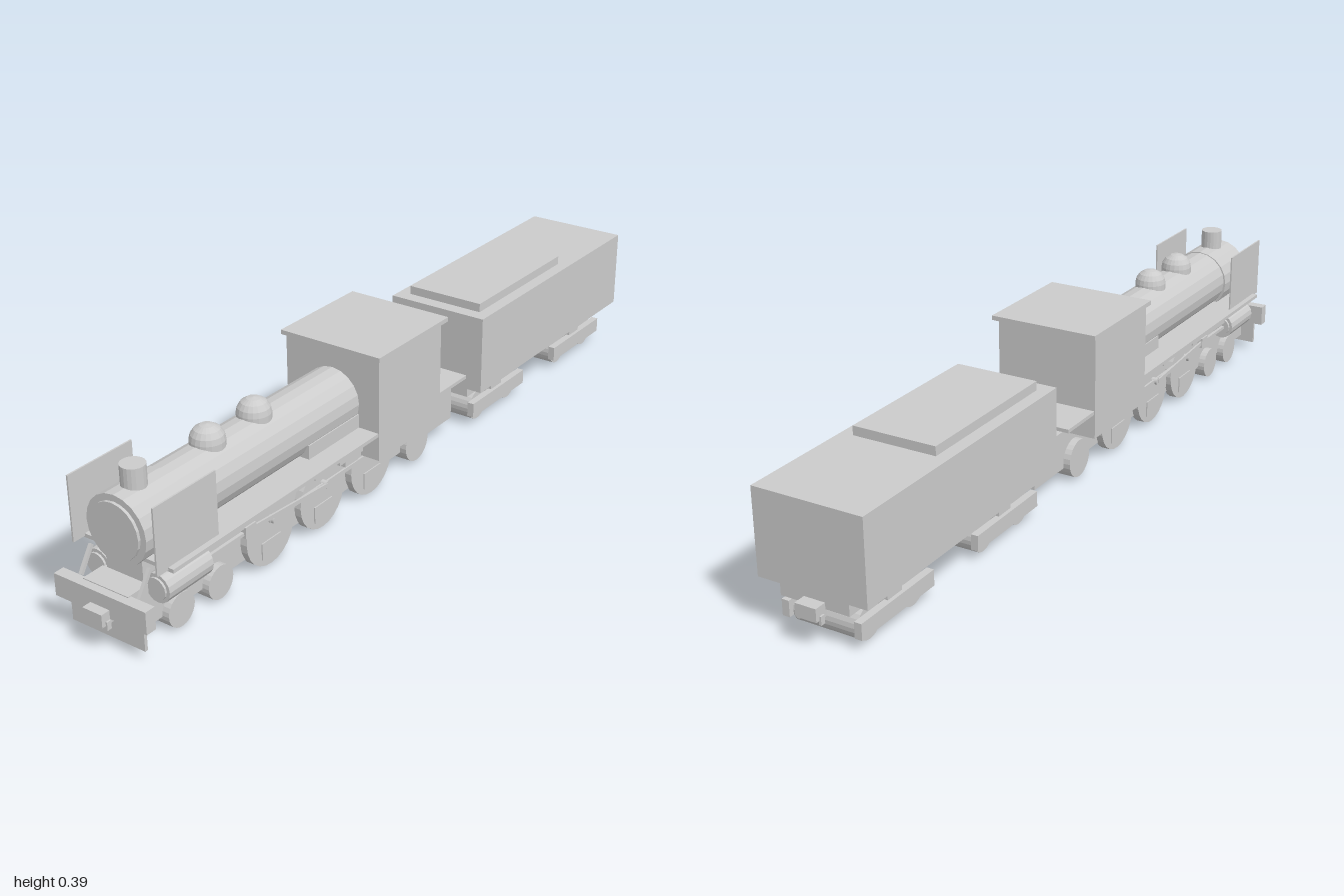
import * as THREE from 'three';

export function createModel() {
  const root = new THREE.Group();
  const flat = new THREE.MeshStandardMaterial({ color: 0xcccccc, flatShading: true });

  function add(name, geometry, x, y, z, parent = root) {
    const mesh = new THREE.Mesh(geometry, flat);
    mesh.name = name;
    mesh.position.set(x, y, z);
    parent.add(mesh);
    return mesh;
  }
  // Box given by its limits on each axis
  function box(name, x0, x1, y0, y1, z0, z1, parent) {
    return add(name, new THREE.BoxGeometry(x1 - x0, y1 - y0, z1 - z0),
      (x0 + x1) / 2, (y0 + y1) / 2, (z0 + z1) / 2, parent);
  }
  // Box symmetric about the centre line
  const slab = (name, w, y0, y1, z0, z1, parent) => box(name, -w, w, y0, y1, z0, z1, parent);
  // Cylinder lying along the locomotive
  function barrel(name, r, z0, z1, x, y, sides = 20, parent = root) {
    const g = new THREE.CylinderGeometry(r, r, z1 - z0, sides).rotateX(Math.PI / 2);
    return add(name, g, x, y, (z0 + z1) / 2, parent);
  }
  // Cylinder lying across the locomotive
  function roller(name, r, x0, x1, y, z, parent = root) {
    const g = new THREE.CylinderGeometry(r, r, x1 - x0, 24).rotateZ(Math.PI / 2);
    return add(name, g, (x0 + x1) / 2, y, z, parent);
  }
  // Flat bar between two points in a vertical plane
  function bar(name, x, y0, z0, y1, z1, height, width, parent) {
    const g = new THREE.BoxGeometry(width, height, Math.hypot(y1 - y0, z1 - z0));
    const mesh = add(name, g, x, (y0 + y1) / 2, (z0 + z1) / 2, parent);
    mesh.rotation.x = -Math.atan2(y1 - y0, z1 - z0);
    return mesh;
  }

  // Boiler, smokebox and firebox
  barrel('boiler', 0.076, 0.18, 0.8, 0, 0.25);
  barrel('smokebox', 0.081, 0.78, 0.915, 0, 0.247);
  barrel('smokeboxDoor', 0.066, 0.91, 0.922, 0, 0.247);
  slab('firebox', 0.075, 0.125, 0.225, 0.19, 0.38);
  slab('smokeboxSaddle', 0.05, 0.13, 0.19, 0.79, 0.9);

  // Chimney and domes
  add('chimney', new THREE.CylinderGeometry(0.028, 0.028, 0.064, 20), 0, 0.341, 0.855);
  const domeProfile = [[0.04, 0], [0.04, 0.03], [0.037, 0.043], [0.029, 0.055], [0.016, 0.063], [0, 0.066]]
    .map(([r, y]) => new THREE.Vector2(r, y));
  for (const z of [0.63, 0.475]) add('dome', new THREE.LatheGeometry(domeProfile, 20), 0, 0.3, z);

  // Cab and running board
  slab('cab', 0.132, 0.12, 0.378, -0.067, 0.19);
  slab('cabRoof', 0.14, 0.377, 0.388, -0.085, 0.2);
  slab('runningBoard', 0.13, 0.182, 0.191, -0.19, 0.895);

  // Frame, buffer beam and drawbar
  slab('mainFrame', 0.062, 0.037, 0.135, -0.23, 0.958);
  slab('bufferBeam', 0.125, 0.08, 0.133, 0.95, 0.977);
  slab('frontGuard', 0.1, 0.021, 0.085, 0.952, 0.96);
  slab('drawbar', 0.04, 0.115, 0.135, -0.27, -0.22);

  // Couplers at both ends
  for (const s of [1, -1]) {
    const coupler = new THREE.Group();
    coupler.name = s > 0 ? 'frontCoupler' : 'rearCoupler';
    slab('couplerBlock', 0.026, 0.07, 0.101, 0.965, 1, coupler);
    for (const x of [-0.027, 0.027]) box('couplerLink', x - 0.003, x + 0.003, 0.06, 0.08, 0.978, 0.99, coupler);
    if (s < 0) coupler.rotation.y = Math.PI;
    root.add(coupler);
  }

  // Leading and trailing wheels
  for (const z of [0.825, 0.7, -0.047]) {
    const r = z < 0 ? 0.048 : 0.04;
    roller('carryingWheels', r, -0.08, 0.08, z < 0 ? 0.05 : 0.04, z);
  }

  // Parts on both sides
  for (const s of [1, -1]) {
    const side = new THREE.Group();
    side.name = s > 0 ? 'leftSide' : 'rightSide';
    root.add(side);
    const at = (c, h) => [s * c - h, s * c + h];

    box('smokeDeflector', ...at(0.114, 0.002), 0.185, 0.341, 0.74, 0.927, side);
    barrel('cylinder', 0.034, 0.76, 0.895, s * 0.082, 0.13, 16, side);
    barrel('cylinderCover', 0.026, 0.753, 0.9, s * 0.082, 0.13, 16, side);
    bar('frontBrace', s * 0.08, 0.185, 0.91, 0.13, 0.945, 0.008, 0.008, side);

    // Driving wheels with counterweights and crank pins
    for (const z of [0.53, 0.34, 0.147]) {
      roller('drivingWheel', 0.082, ...at(0.069, 0.011), 0.083, z, side);
      box('counterweight', ...at(0.08, 0.003), 0.024, 0.065, z - 0.033, z + 0.033, side);
      roller('crankPin', 0.009, ...at(0.086, 0.01), 0.115, z, side);
    }

    // Rods and valve gear
    bar('couplingRod', s * 0.087, 0.115, 0.14, 0.115, 0.54, 0.01, 0.005, side);
    bar('connectingRod', s * 0.095, 0.115, 0.34, 0.135, 0.62, 0.01, 0.005, side);
    bar('pistonRod', s * 0.09, 0.13, 0.6, 0.13, 0.76, 0.008, 0.008, side);
    bar('slideBar', s * 0.09, 0.147, 0.55, 0.147, 0.76, 0.006, 0.01, side);
    box('crosshead', ...at(0.092, 0.007), 0.12, 0.147, 0.6, 0.635, side);
    for (const z of [0.6, 0.38]) box('boardHanger', ...at(0.09, 0.004), 0.145, 0.184, z - 0.004, z + 0.004, side);
    box('valveBracket', ...at(0.088, 0.006), 0.14, 0.152, 0.2, 0.29, side);
    box('valveLink', ...at(0.088, 0.006), 0.127, 0.14, 0.22, 0.27, side);
  }

  // Tender
  const tender = new THREE.Group();
  tender.name = 'tender';
  root.add(tender);
  slab('tenderBody', 0.135, 0.118, 0.32, -0.977, -0.253, tender);
  slab('tenderHatch', 0.104, 0.318, 0.342, -0.687, -0.288, tender);
  slab('tenderUnderframe', 0.085, 0.086, 0.12, -0.97, -0.27, tender);

  // Tender bogies
  for (const z of [-0.406, -0.827]) {
    const bogie = new THREE.Group();
    bogie.name = 'bogie';
    bogie.position.z = z;
    tender.add(bogie);
    slab('bolster', 0.09, 0.05, 0.09, -0.025, 0.025, bogie);
    for (const w of [-0.075, 0.075]) roller('tenderWheels', 0.04, -0.08, 0.08, 0.04, w, bogie);
    for (const s of [-1, 1]) {
      box('bogieSideFrame', s * 0.09 - 0.009, s * 0.09 + 0.009, 0.027, 0.065, -0.126, 0.126, bogie);
    }
  }
  return root;
}
